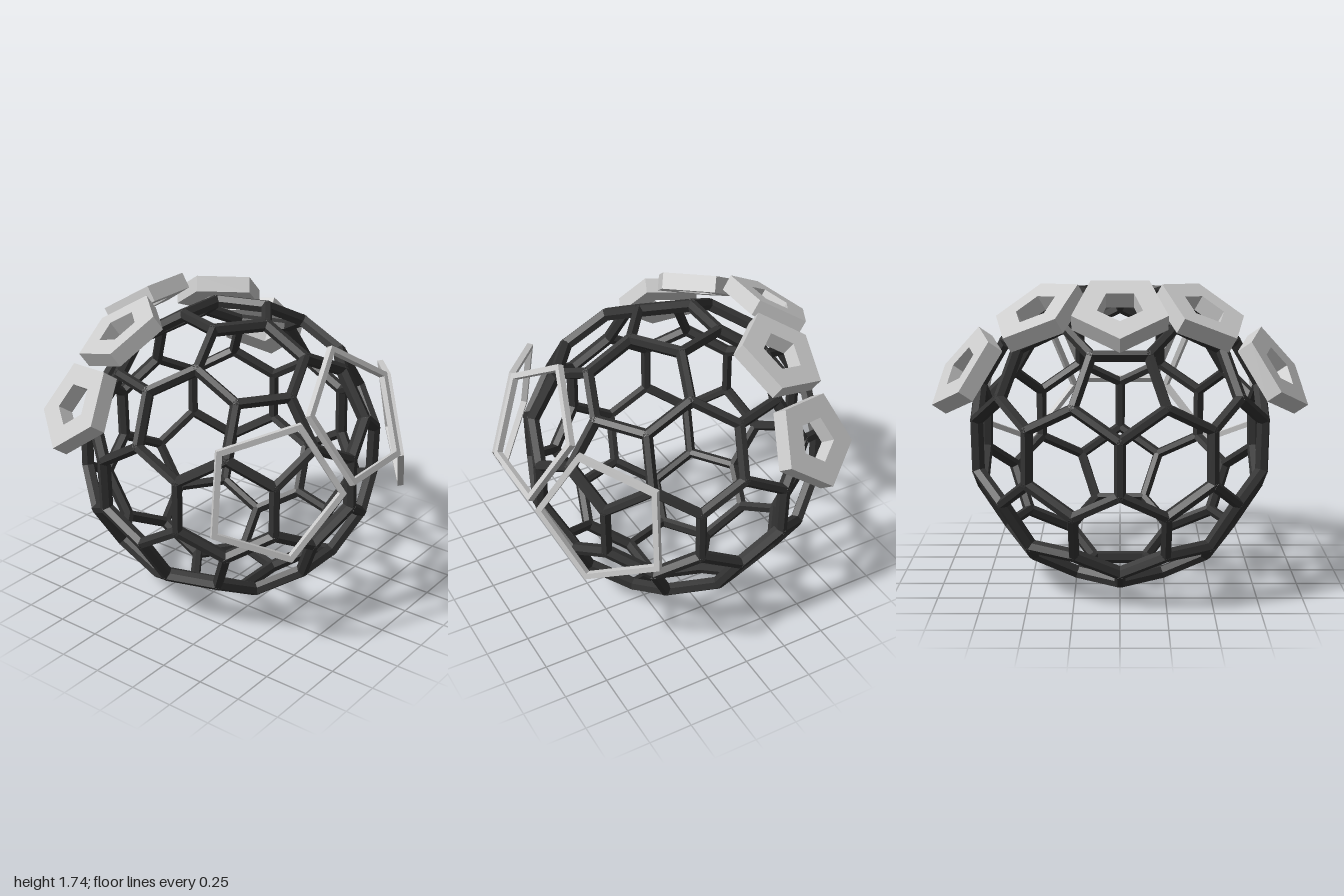
import * as THREE from 'three';

const V = (x, y, z) => new THREE.Vector3(x, y, z);
const CENTER = V(0, 0.828, -0.07);
const RADIUS = 0.835;

const lightMat = new THREE.MeshStandardMaterial({ color: 0xcccccc, flatShading: true });
const darkMat = new THREE.MeshStandardMaterial({ color: 0x333333, flatShading: true });

// Twelve pentagon directions: two poles and two staggered rings of five
function pentagonDirections() {
  const dirs = [V(0, 1, 0), V(0, -1, 0)];
  const c = 2 / Math.sqrt(5), s = 1 / Math.sqrt(5);
  for (let k = 0; k < 5; k++) {
    const a = (k * 2 * Math.PI) / 5, b = a + Math.PI / 5;
    dirs.push(V(c * Math.sin(a), -s, c * Math.cos(a)));
    dirs.push(V(c * Math.sin(b), s, c * Math.cos(b)));
  }
  return dirs;
}

// Eighty cage nodes: one where three pentagons face each other, plus the corners of each pentagon
function cageNodes() {
  const f = pentagonDirections(), nodes = [];
  const near = (a, b) => a.dot(b) > 0.4;
  const angle = THREE.MathUtils.degToRad(17.6);
  for (let i = 0; i < 12; i++)
    for (let j = i + 1; j < 12; j++)
      for (let k = j + 1; k < 12; k++) {
        if (!near(f[i], f[j]) || !near(f[j], f[k]) || !near(f[i], f[k])) continue;
        const d = f[i].clone().add(f[j]).add(f[k]).normalize();
        nodes.push(d);
        for (const p of [f[i], f[j], f[k]]) {
          const axis = p.clone().cross(d).normalize();
          nodes.push(p.clone().applyAxisAngle(axis, angle));
        }
      }
  return nodes.map((n) => n.multiplyScalar(RADIUS));
}

// Open ball of bevelled struts joined by small nodes
function buildCage() {
  const cage = new THREE.Group();
  cage.name = 'ballCage';
  cage.position.copy(CENTER);
  const nodes = cageNodes();
  const jointGeo = new THREE.SphereGeometry(0.031, 8, 6);
  const orient = (mesh, along, outward) => {
    const y = along.clone().normalize();
    const x = y.clone().cross(outward).normalize();
    const z = x.clone().cross(y);
    mesh.quaternion.setFromRotationMatrix(new THREE.Matrix4().makeBasis(x, y, z));
  };
  nodes.forEach((a, i) => {
    const joint = new THREE.Mesh(jointGeo, darkMat);
    joint.name = 'cageJoint';
    joint.position.copy(a);
    cage.add(joint);
    for (const b of nodes.slice(i + 1)) {
      const length = a.distanceTo(b);
      if (length > 0.37) continue;
      const geo = new THREE.CylinderGeometry(0.033, 0.033, length + 0.015, 6, 1, false, Math.PI / 6);
      geo.scale(0.9, 1, 1.15);
      const strut = new THREE.Mesh(geo, darkMat);
      strut.name = 'cageStrut';
      strut.position.copy(a).add(b).multiplyScalar(0.5);
      orient(strut, b.clone().sub(a), strut.position);
      cage.add(strut);
    }
  });
  return cage;
}

// Flat pentagon frame: outer face centred on c, facing n, one corner towards v
function pentagonFrame(name, c, n, v, outer, inner, depth) {
  const corners = (r) => Array.from({ length: 5 }, (_, i) => {
    const a = Math.PI / 2 + (i * 2 * Math.PI) / 5;
    return new THREE.Vector2(r * Math.cos(a), r * Math.sin(a));
  });
  const shape = new THREE.Shape(corners(outer));
  shape.holes.push(new THREE.Path(corners(inner).reverse()));
  const geo = new THREE.ExtrudeGeometry(shape, { depth, bevelEnabled: false });
  geo.translate(0, 0, -depth);
  const z = n.clone().normalize();
  const x = v.clone().cross(z).normalize();
  const y = z.clone().cross(x);
  const mesh = new THREE.Mesh(geo, lightMat);
  mesh.name = name;
  mesh.quaternion.setFromRotationMatrix(new THREE.Matrix4().makeBasis(x, y, z));
  mesh.position.copy(c);
  return mesh;
}

export function createModel() {
  const model = new THREE.Group();
  model.name = 'pentagonBall';
  model.add(buildCage());

  const flip = (p, s) => V(p.x * s, p.y, p.z);
  const thick = (name, c, n, v, s = 1) =>
    model.add(pentagonFrame(name, flip(c, s), flip(n, s), flip(v, s), 0.26, 0.123, 0.092));
  const thin = (name, n, v, s = 1) => {
    const dir = flip(n, s).normalize();
    const c = CENTER.clone().addScaledVector(dir, 0.955);
    model.add(pentagonFrame(name, c, dir, flip(v, s), 0.39, 0.352, 0.034));
  };

  // Thin frames at the front
  thin('frontFrame', V(0, 0.447, 0.894), V(0, 0.894, -0.447));
  // Thick frames arching over the back
  thick('backCenterFrame', V(0, 1.628, -0.707), V(0, 0.845, -0.534), V(0, -0.534, -0.845));
  for (const [side, s] of [['left', 1], ['right', -1]]) {
    thin(side + 'FrontFrame', V(0.614, 0.162, 0.772), V(-0.024, -0.37, 0.1), s);
    thick(side + 'UpperBackFrame', V(0.45, 1.592, -0.489), V(0.433, 0.837, -0.332), V(-0.017, 0.108, 0.219), s);
    thick(side + 'OuterBackFrame', V(0.849, 1.281, -0.47), V(0.76, 0.583, -0.29), V(0.151, -0.211, -0.01), s);
  }
  return model;
}
